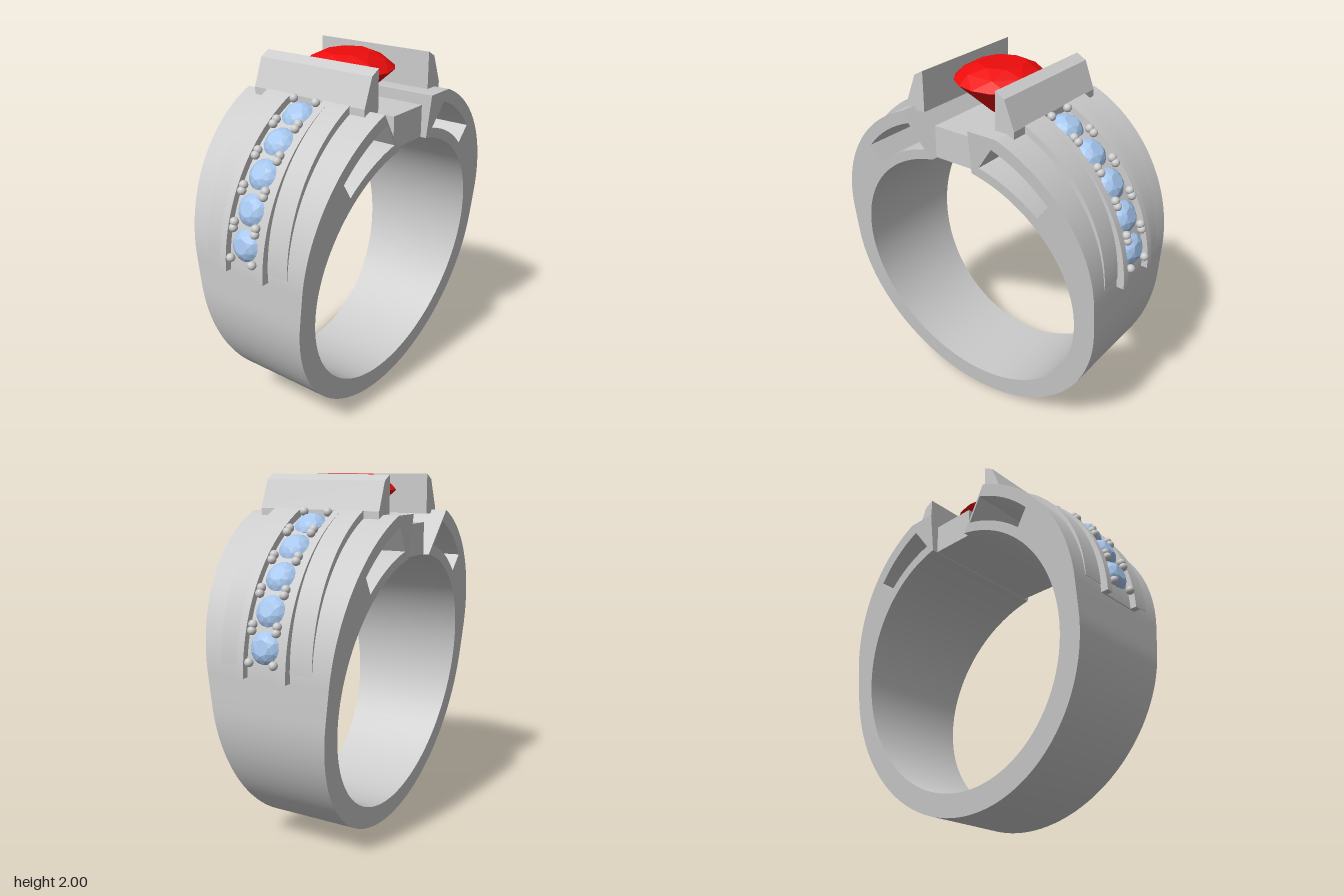
import * as THREE from 'three';
import { toCreasedNormals } from 'three/addons/utils/BufferGeometryUtils.js';
import { ConvexGeometry } from 'three/addons/geometries/ConvexGeometry.js';

const PI = Math.PI, RAD = PI / 180;
const metal = new THREE.MeshStandardMaterial({ color: 0xcccccc });
const red = new THREE.MeshStandardMaterial({ color: 0xee0c0c });
const blue = new THREE.MeshStandardMaterial({ color: 0xa6c6ee });

function mesh(name, geometry, material = metal) {
  const m = new THREE.Mesh(geometry, material);
  m.name = name;
  return m;
}

// Extrude a front-view outline from z0 to z1
function slab(shape, z0, z1) {
  const g = new THREE.ExtrudeGeometry(shape, { depth: z1 - z0, bevelEnabled: false, curveSegments: 48 });
  return g.translate(0, 0, z0);
}

// Curved strip between two radii about (0, cy)
function arcStrip(name, cy, r0, r1, a0, a1, z0, z1) {
  const s = new THREE.Shape();
  s.absarc(0, cy, r1, a0 * RAD, a1 * RAD, false);
  s.absarc(0, cy, r0, a1 * RAD, a0 * RAD, true);
  s.closePath();
  return mesh(name, toCreasedNormals(slab(s, z0, z1), 0.5));
}

// Round brilliant cut, girdle at y = 0
function brilliant(r, crown, pavilion) {
  const pts = [new THREE.Vector3(0, -pavilion, 0)];
  const ring = (n, radius, y, offset) => {
    for (let i = 0; i < n; i++) {
      const a = (i + offset) * 2 * PI / n;
      pts.push(new THREE.Vector3(Math.cos(a) * radius, y, Math.sin(a) * radius));
    }
  };
  ring(8, r * 0.5, crown, 0);
  ring(8, r * 0.8, crown * 0.58, 0.5);
  ring(16, r, 0, 0);
  return new ConvexGeometry(pts);
}

// Band with raised shoulders, open at the top and pierced by two windows
function bandGeometry() {
  const s = new THREE.Shape();
  const a = Math.asin(0.79 / 0.845), b = Math.acos(0.13 / 0.725);
  s.moveTo(-0.13, 1.8);
  s.absarc(0, 1.01, 0.845, PI - a, PI, false);
  s.absarc(0, 0.845, 0.845, PI, 2 * PI, false);
  s.absarc(0, 1.01, 0.845, 0, a, false);
  s.lineTo(0.13, 1.8);
  s.absarc(0, 0.85, 0.725, b, PI - b, true);
  s.closePath();
  for (const side of [1, -1]) {
    const at = (deg) => (side > 0 ? deg : 180 - deg) * RAD;
    const w = new THREE.Path();
    w.moveTo(side * 0.18, 1.74);
    w.absarc(0, 1, 0.785, at(70), at(41.5), side > 0);
    w.absarc(0, 0.85, 0.78, at(48), at(76.7), side < 0);
    w.closePath();
    s.holes.push(w);
  }
  const g = slab(s, -1, 1);
  // The band widens evenly from bottom to top
  const p = g.attributes.position;
  for (let i = 0; i < p.count; i++) p.setZ(i, p.getZ(i) * (0.25 + 0.2 * p.getY(i) / 1.8));
  return toCreasedNormals(g, 0.5);
}

// Everything set on one shoulder (+x)
function shoulder(name) {
  const g = new THREE.Group();
  g.name = name;

  // Bar that grips the centre stone
  const profile = new THREE.Shape([[0.23, 1.78], [0.345, 1.78], [0.345, 1.82], [0.285, 1.97], [0.23, 2]]
    .map(([x, y]) => new THREE.Vector2(x, y)));
  g.add(mesh('clampBar', slab(profile, -0.36, 0.36)));

  // Stone channel: floor, rails and stepped side panels
  g.add(arcStrip('channelFloor', 1.005, 0.81, 0.852, 1, 69, -0.11, 0.11));
  for (const [z0, z1] of [[0.105, 0.145], [-0.145, -0.105]])
    g.add(arcStrip('channelRail', 1.005, 0.825, 0.887, 1, 69, z0, z1));
  for (const [z0, z1] of [[0.14, 0.27], [-0.27, -0.14]])
    g.add(arcStrip('sidePanel', 1.05, 0.8, 0.846, 1.2, 68, z0, z1));

  // Five small stones, each held by four beads
  const stone = brilliant(0.083, 0.034, 0.07);
  const bead = new THREE.SphereGeometry(0.023, 16, 12);
  for (let i = 0; i < 5; i++) {
    const setting = new THREE.Group();
    setting.name = 'stoneSetting';
    setting.position.y = 1.005;
    setting.rotation.z = (11.7 + i * 12.2 - 90) * RAD;
    const gem = mesh('smallStone', stone, blue);
    gem.position.y = 0.862;
    setting.add(gem);
    for (const t of [-5.1, 5.1]) for (const z of [-0.072, 0.072]) {
      const ball = mesh('bead', bead);
      ball.position.set(0.885 * Math.sin(t * RAD), 0.885 * Math.cos(t * RAD), z);
      setting.add(ball);
    }
    g.add(setting);
  }
  return g;
}

export function createModel() {
  const ring = new THREE.Group();
  ring.name = 'ring';
  ring.add(mesh('band', bandGeometry()));

  // Bridge closing the band under the centre stone
  const bridge = mesh('bridge', new THREE.BoxGeometry(0.264, 0.175, 0.78));
  bridge.position.y = 1.6525;
  ring.add(bridge);

  const centre = mesh('centreStone', brilliant(0.255, 0.085, 0.23), red);
  centre.position.y = 1.915;
  ring.add(centre);

  const left = shoulder('leftShoulder');
  const right = shoulder('rightShoulder');
  right.rotation.y = PI;
  ring.add(left, right);
  return ring;
}
